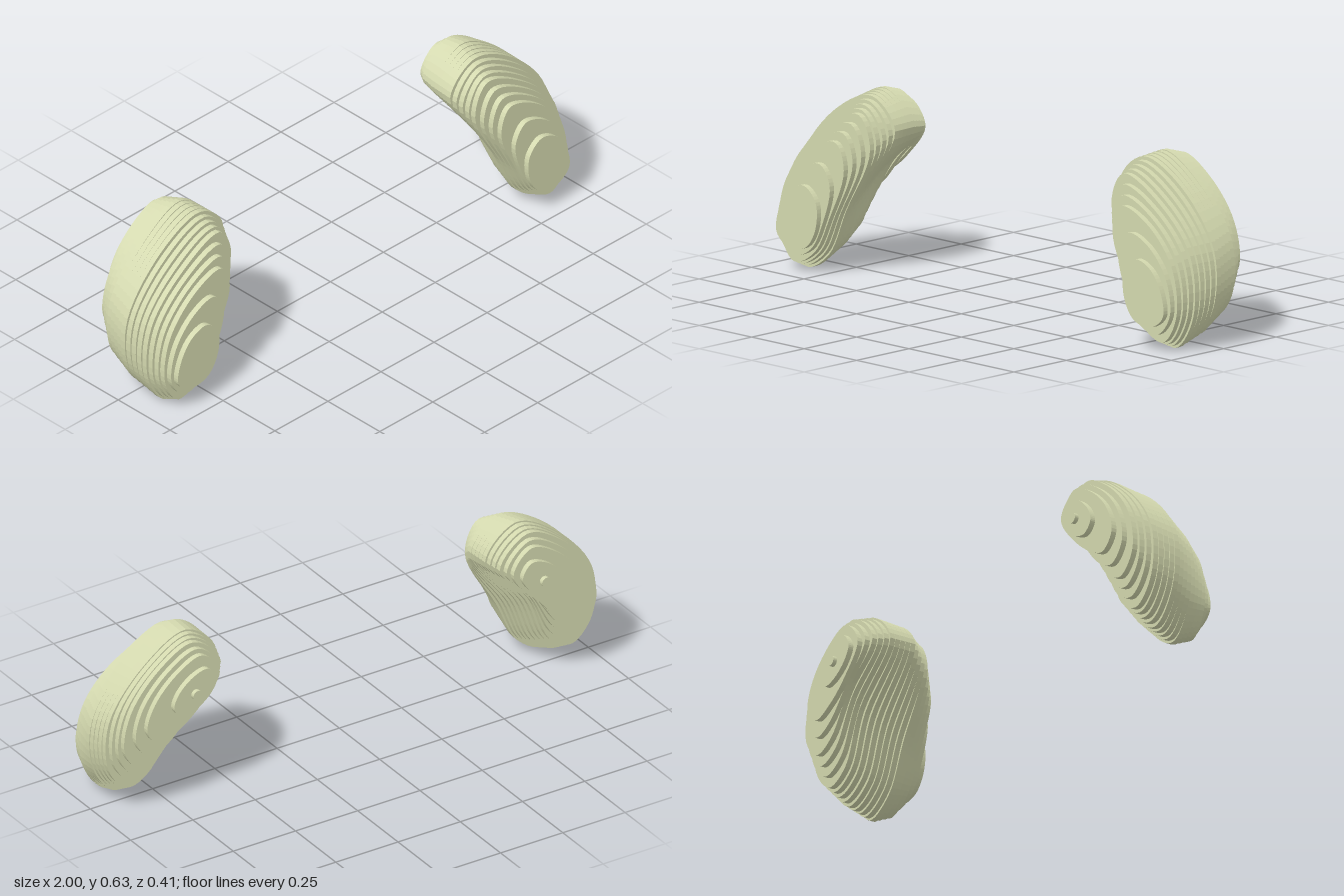
import * as THREE from 'three';

// Outlines at several depths; each runs bottom, inner side, top, outer side
const outlines = [
  { z: 0.20, p: [[.86, .085], [.78, .10], [.735, .17], [.735, .26], [.79, .31], [.86, .285], [.91, .21], [.92, .13]] },
  { z: 0.16, p: [[.88, .03], [.78, .075], [.71, .20], [.64, .38], [.68, .47], [.80, .43], [.92, .30], [.945, .13]] },
  { z: 0.10, p: [[.88, .002], [.77, .06], [.69, .22], [.575, .45], [.63, .565], [.80, .49], [.95, .33], [.965, .12]] },
  { z: 0.02, p: [[.89, .035], [.78, .09], [.70, .27], [.535, .51], [.645, .615], [.83, .535], [.985, .34], [.98, .14]] },
  { z: -0.06, p: [[.89, .085], [.80, .13], [.72, .31], [.54, .51], [.66, .628], [.83, .54], [.97, .36], [.97, .17]] },
  { z: -0.12, p: [[.88, .185], [.80, .22], [.70, .36], [.56, .50], [.67, .61], [.80, .55], [.92, .41], [.945, .26]] },
  { z: -0.16, p: [[.83, .285], [.76, .31], [.67, .38], [.59, .49], [.66, .575], [.75, .54], [.85, .44], [.88, .34]] },
  { z: -0.18, p: [[.75, .375], [.70, .385], [.64, .43], [.615, .48], [.65, .53], [.71, .515], [.77, .46], [.785, .41]] },
];

const SEGMENTS = 56;
const STEP = 0.02;
const LAYERS = 20;
const FRONT = 0.21;

// Smooth closed outline at depth z, blended between the two nearest outlines
function outlineAt(z) {
  let k = 0;
  while (k < outlines.length - 2 && z < outlines[k + 1].z) k++;
  const a = outlines[k], b = outlines[k + 1];
  const t = THREE.MathUtils.clamp((a.z - z) / (a.z - b.z), 0, 1);
  const points = a.p.map(([x, y], i) => new THREE.Vector3(
    THREE.MathUtils.lerp(x, b.p[i][0], t), THREE.MathUtils.lerp(y, b.p[i][1], t), 0));
  const curve = new THREE.CatmullRomCurve3(points, true);
  return Array.from({ length: SEGMENTS }, (_, i) => curve.getPoint(i / SEGMENTS));
}

// Circle running the same way round as the outlines
function circle(cx, cy, r) {
  return Array.from({ length: SEGMENTS }, (_, i) => {
    const a = -Math.PI / 2 - (i / SEGMENTS) * Math.PI * 2;
    return new THREE.Vector3(cx + r * Math.cos(a), cy + r * Math.sin(a), 0);
  });
}

// Stepped body: every layer gives a riser, neighbouring layers meet in a flat tread
function lobeGeometry(side) {
  const rings = [];
  const addRing = (ring, z) => rings.push(ring.map((p) => new THREE.Vector3(side * p.x, p.y, z)));
  const addLayer = (ring, z0, z1) => { addRing(ring, z0); addRing(ring, z1); };

  addRing(circle(0.83, 0.2, 0), FRONT);
  for (let i = 0; i < LAYERS; i++) {
    const z = FRONT - i * STEP;
    addLayer(outlineAt(z - STEP / 2), z, z - STEP);
  }
  // Small nub on the back
  const back = FRONT - LAYERS * STEP;
  addLayer(circle(0.70, 0.448, 0.018), back, back - 0.015);
  addRing(circle(0.70, 0.448, 0), back - 0.015);

  const positions = [];
  const triangle = (a, b, c) => {
    for (const v of side > 0 ? [a, b, c] : [a, c, b]) positions.push(v.x, v.y, v.z);
  };
  for (let k = 0; k < rings.length - 1; k++) {
    for (let i = 0; i < SEGMENTS; i++) {
      const j = (i + 1) % SEGMENTS;
      const a = rings[k][i], b = rings[k][j], c = rings[k + 1][i], d = rings[k + 1][j];
      if (k > 0) triangle(a, b, c);
      if (k < rings.length - 2) triangle(b, d, c);
    }
  }
  const geometry = new THREE.BufferGeometry();
  geometry.setAttribute('position', new THREE.Float32BufferAttribute(positions, 3));
  geometry.computeVertexNormals();
  return geometry;
}

export function createModel() {
  const model = new THREE.Group();
  model.name = 'pairedLobes';
  const material = new THREE.MeshStandardMaterial({ color: 0xd3d8ae, flatShading: true });
  for (const [name, side] of [['leftLobe', 1], ['rightLobe', -1]]) {
    const lobe = new THREE.Mesh(lobeGeometry(side), material);
    lobe.name = name;
    model.add(lobe);
  }
  return model;
}
